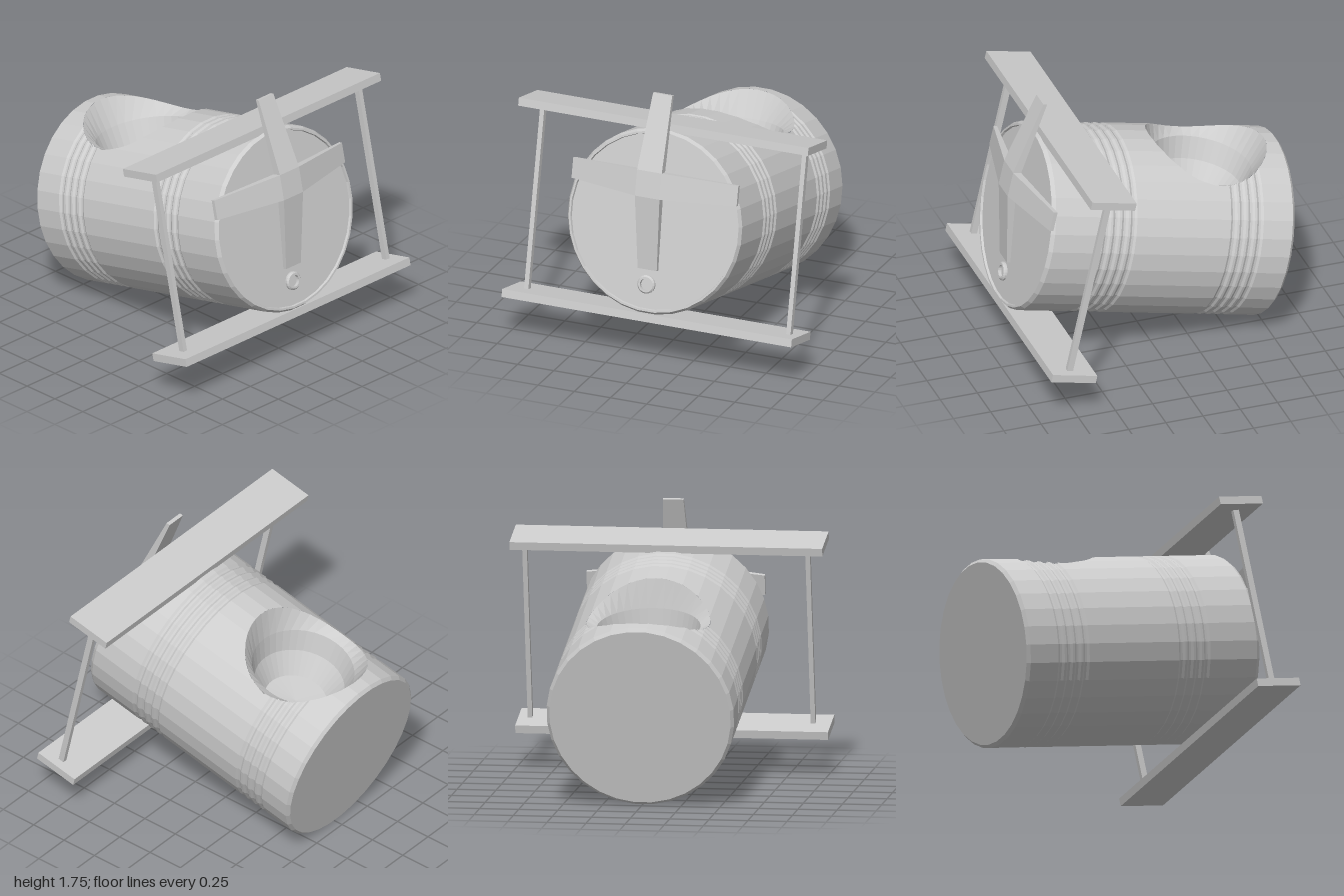
import * as THREE from 'three';

const TILT = THREE.MathUtils.degToRad(12.5);
const R = 0.6;                      // barrel radius
const SIDES = 32;
const HOLE = { x: -0.347, r: 0.393 }; // cockpit opening, cut from above

const grey = new THREE.MeshStandardMaterial({ color: 0xcccccc, flatShading: true });
grey.name = 'plain grey';

function mesh(name, geometry, parent, x = 0, y = 0, z = 0) {
  const m = new THREE.Mesh(geometry, grey);
  m.name = name;
  m.position.set(x, y, z);
  parent.add(m);
  return m;
}

// collects quads, leaving out triangles without area
function quadBuilder() {
  const pos = [];
  const ab = new THREE.Vector3(), ac = new THREE.Vector3();
  const tri = (a, b, c) => {
    ab.subVectors(b, a);
    ac.subVectors(c, a);
    if (ab.cross(ac).lengthSq() > 1e-14) for (const p of [a, b, c]) pos.push(p.x, p.y, p.z);
  };
  return {
    quad(a, b, c, d) { tri(a, b, c); tri(a, c, d); },
    build() {
      const g = new THREE.BufferGeometry();
      g.setAttribute('position', new THREE.Float32BufferAttribute(pos, 3));
      g.computeVertexNormals();
      return g;
    },
  };
}

// [along the axis, radius] from the back end to the recessed front lid
function barrelProfile() {
  const p = [[-0.84, 0], [-0.84, 0.58], [-0.82, R]];
  for (const start of [-0.62, 0.25]) {
    for (let i = 0; i < 4; i++) {
      const x = start + i * 0.06;
      p.push([x, R], [x + 0.015, R - 0.009], [x + 0.03, R - 0.009], [x + 0.045, R]);
    }
  }
  p.push([0.81, R], [0.835, 0.585], [0.835, 0.572], [0.82, 0.568], [0.82, 0]);
  return p;
}

// unit cross-section of the faceted barrel: points along the flat of each side
function sectionPoints() {
  const pts = [];
  const step = (Math.PI * 2) / SIDES;
  for (let i = 0; i < SIDES; i++) {
    const a = (i - 0.5) * step, b = a + step;
    const subs = Math.cos(a) > 0.3 ? 10 : 1;
    for (let k = 0; k < subs; k++) {
      const t = k / subs;
      pts.push({
        y: THREE.MathUtils.lerp(Math.cos(a), Math.cos(b), t),
        z: THREE.MathUtils.lerp(Math.sin(a), Math.sin(b), t),
      });
    }
  }
  return pts;
}

// faceted shell with a round opening clipped out of its top
function barrelShell() {
  const out = quadBuilder();
  const prof = barrelProfile(), sec = sectionPoints();
  const { clamp, lerp } = THREE.MathUtils;
  for (let i = 0; i < prof.length - 1; i++) {
    const [x0, r0] = prof[i], [x1, r1] = prof[i + 1];
    const at = (s, x) => {
      const r = lerp(r0, r1, (x - x0) / (x1 - x0));
      return new THREE.Vector3(x, s.y * r, s.z * r);
    };
    const end = (s, x, r) => new THREE.Vector3(x, s.y * r, s.z * r);
    for (let j = 0; j < sec.length; j++) {
      const a = sec[j], b = sec[(j + 1) % sec.length];
      if (x1 <= x0 || a.y < 0.2) {
        out.quad(end(a, x0, r0), end(b, x0, r0), end(b, x1, r1), end(a, x1, r1));
        continue;
      }
      const cut = (s, side) => {
        const half = Math.sqrt(Math.max(0, HOLE.r ** 2 - (s.z * R) ** 2));
        return clamp(HOLE.x + side * half, x0, x1);
      };
      out.quad(at(a, x0), at(b, x0), at(b, cut(b, -1)), at(a, cut(a, -1)));
      out.quad(at(a, cut(a, 1)), at(b, cut(b, 1)), at(b, x1), at(a, x1));
    }
  }
  return out.build();
}

// bowl hanging from the opening; its first ring follows the barrel surface
function cockpitBowl() {
  const out = quadBuilder();
  const n = 40;
  const rings = [[HOLE.r, null], [0.33, 0.42], [0.29, 0.28], [0.2, 0.14], [0, 0.12]];
  const point = ([r, y], k) => {
    const a = (k / n) * Math.PI * 2, z = r * Math.sin(a);
    return new THREE.Vector3(HOLE.x + r * Math.cos(a), y ?? Math.sqrt((R * 0.998) ** 2 - z * z), z);
  };
  for (let i = 0; i < rings.length - 1; i++) {
    for (let k = 0; k < n; k++) {
      out.quad(point(rings[i + 1], k), point(rings[i + 1], k + 1), point(rings[i], k + 1), point(rings[i], k));
    }
  }
  return out.build();
}

// tapered blade, swept back towards its tip
function bladeGeometry() {
  const g = new THREE.BoxGeometry(1, 1, 1);
  const p = g.attributes.position;
  for (let i = 0; i < p.count; i++) {
    const tip = p.getY(i) > 0, front = p.getX(i) > 0;
    const x = tip ? (front ? 0.847 : 0.822) : (front ? 0.955 : 0.9);
    p.setXYZ(i, x, tip ? 0.57 : 0.085, Math.sign(p.getZ(i)) * (tip ? 0.066 : 0.085));
  }
  g.computeVertexNormals();
  return g;
}

export function createModel() {
  const model = new THREE.Group();
  model.name = 'barrelPlane';
  const body = new THREE.Group();
  body.name = 'tiltedBody';
  body.position.y = 0.765;
  body.rotation.z = TILT;
  model.add(body);

  mesh('barrel', barrelShell(), body);
  mesh('cockpit', cockpitBowl(), body);

  // two plank wings joined by struts
  const plank = new THREE.BoxGeometry(0.305, 0.052, 2);
  mesh('upperWing', plank, body, 0.66, 0.614, 0);
  mesh('lowerWing', plank, body, 0.655, -0.631, 0);
  const strut = new THREE.BoxGeometry(0.04, 1.2, 0.03);
  mesh('leftStrut', strut, body, 0.668, -0.008, 0.885);
  mesh('rightStrut', strut, body, 0.668, -0.008, -0.925);

  // four-bladed propeller
  const propeller = new THREE.Group();
  propeller.name = 'propeller';
  propeller.position.set(0, 0.26, 0.01);
  body.add(propeller);
  mesh('hub', new THREE.BoxGeometry(0.055, 0.17, 0.17), propeller, 0.9275, 0, 0);
  const blade = bladeGeometry();
  for (let i = 0; i < 4; i++) mesh('blade', blade, propeller).rotation.x = (i * Math.PI) / 2;

  // tap ring on the lid
  const ring = [[0.038, 0], [0.038, 0.022], [0.05, 0.022], [0.06, 0.012], [0.06, 0]]
    .map(([r, y]) => new THREE.Vector2(r, y)).reverse();
  mesh('bungRing', new THREE.LatheGeometry(ring, 20), body, 0.82, -0.41, 0.015).rotation.z = -Math.PI / 2;
  body.getObjectByName('bungRing').geometry.scale(1, 1, 1);
  const inner = body.getObjectByName('bungRing');
  inner.material = grey.clone();
  inner.material.side = THREE.DoubleSide;

  return model;
}
